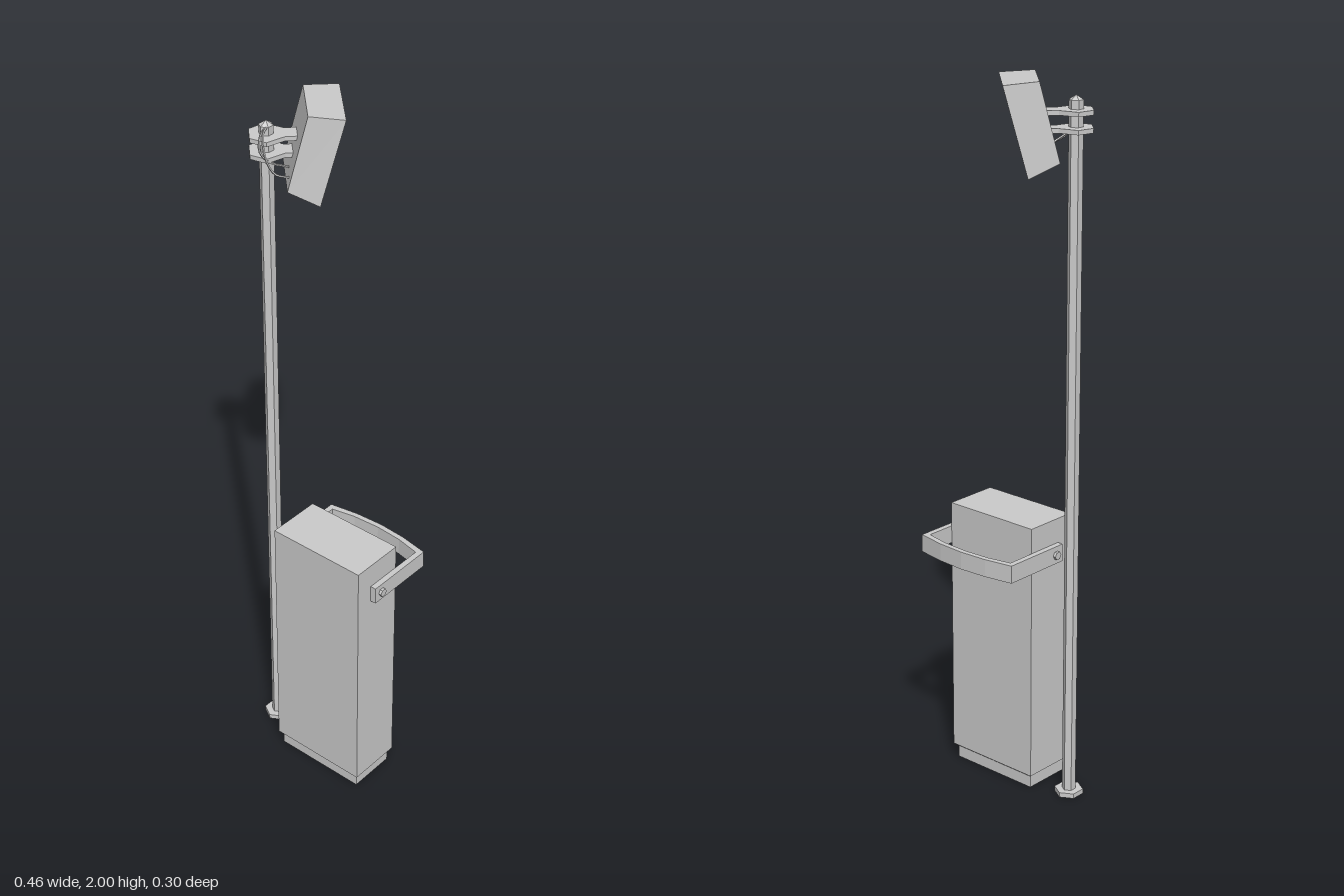
import * as THREE from 'three';

const material = new THREE.MeshStandardMaterial({ color: 0xcccccc, flatShading: true });

function add(parent, name, geometry, x = 0, y = 0, z = 0) {
  const mesh = new THREE.Mesh(geometry, material);
  mesh.name = name;
  mesh.position.set(x, y, z);
  parent.add(mesh);
  return mesh;
}

// Extrudes an outline given as [x, z] pairs upwards by a height
function slab(points, height) {
  const shape = new THREE.Shape(points.map(([x, z]) => new THREE.Vector2(x, -z)));
  return new THREE.ExtrudeGeometry(shape, { depth: height, bevelEnabled: false }).rotateX(-Math.PI / 2);
}

// Moves the corners of a unit box by a rule
function shapedBox(rule) {
  const geometry = new THREE.BoxGeometry(2, 2, 2);
  const p = geometry.attributes.position;
  for (let i = 0; i < p.count; i++) p.setXYZ(i, ...rule(p.getX(i), p.getY(i), p.getZ(i)));
  geometry.computeVertexNormals();
  return geometry;
}

function createCabinet() {
  const cabinet = new THREE.Group();
  cabinet.name = 'cabinet';
  cabinet.position.set(0.0545, 0, 0.069);

  add(cabinet, 'cabinetBody', new THREE.BoxGeometry(0.295, 0.743, 0.158), 0, 0.4135, 0);
  // Thin sloping ledge between the body and the plinth
  add(cabinet, 'cabinetLedge', shapedBox((x, y, z) =>
    y > 0 ? [x * 0.1475, 0.042, z * 0.079] : [x * 0.1375, 0.034, z * 0.069]));
  add(cabinet, 'plinth', new THREE.BoxGeometry(0.275, 0.034, 0.138), 0, 0.017, 0);

  // Bowed carrying handle reaching around the back
  const outer = [[0.165, 0.028], [0.165, -0.179], [0.082, -0.193], [0, -0.198]];
  const inner = [[0, -0.183], [0.079, -0.178], [0.1485, -0.164], [0.1485, 0.028]];
  const mirror = (list) => list.map(([x, z]) => [-x, z]).reverse();
  const outline = [...outer, ...mirror(outer.slice(0, 3)), ...mirror(inner.slice(1)), ...inner];
  add(cabinet, 'handle', slab(outline, 0.05), 0, 0.665, 0);

  for (const side of [-1, 1]) {
    const bolt = new THREE.CylinderGeometry(0.012, 0.012, 0.026, 6).rotateZ(Math.PI / 2);
    add(cabinet, side > 0 ? 'leftBolt' : 'rightBolt', bolt, side * 0.16, 0.69, 0.002);
  }
  return cabinet;
}

function createMast() {
  const mast = new THREE.Group();
  mast.name = 'mast';
  mast.position.set(-0.18, 0, 0.052);
  add(mast, 'foot', new THREE.CylinderGeometry(0.04, 0.04, 0.014, 6), 0, 0.007, 0);
  add(mast, 'pole', new THREE.CylinderGeometry(0.019, 0.019, 1.94, 6), 0, 0.97, 0);
  add(mast, 'poleCap', new THREE.ConeGeometry(0.019, 0.012, 6), 0, 1.946, 0);

  // Head assembly: local x points from the pole towards the head
  const head = new THREE.Group();
  head.name = 'headAssembly';
  head.rotation.y = Math.PI / 4;
  mast.add(head);

  // Tilted box, slightly wider on its outer face
  add(head, 'head', shapedBox((x, y, z) => {
    const outer = x > 0, top = y > 0;
    return [
      outer ? (top ? 0.188 : 0.125) : (top ? 0.097 : 0.045),
      outer ? (top ? 1.993 : 1.76) : (top ? 2 : 1.797),
      z * (outer ? 0.099 : 0.086),
    ];
  }));

  // Two clamp plates around the pole
  [['upperClamp', 1.905, 0.08], ['lowerClamp', 1.86, 0.068]].forEach(([name, y, reach]) => {
    const half = [[reach, 0.024], [0.045, 0.024], [-0.002, 0.052], [-0.042, 0.026]];
    add(head, name, slab([...half, ...half.map(([x, z]) => [x, -z]).reverse()], 0.012), 0, y, 0);
  });
  return mast;
}

export function createModel() {
  const model = new THREE.Group();
  model.name = 'cabinetWithMast';
  model.add(createCabinet(), createMast());

  // Loose cables from the top of the pole into the head
  const cables = [
    [[-0.175, 1.935, 0.058], [-0.16, 1.932, 0.095], [-0.152, 1.9, 0.108], [-0.145, 1.86, 0.08], [-0.13, 1.83, 0.025]],
    [[-0.172, 1.938, 0.058], [-0.15, 1.936, 0.097], [-0.132, 1.89, 0.11], [-0.118, 1.84, 0.09], [-0.103, 1.82, 0.05]],
  ];
  cables.forEach((points, i) => {
    const curve = new THREE.CatmullRomCurve3(points.map((p) => new THREE.Vector3(...p)));
    add(model, `cable${i + 1}`, new THREE.TubeGeometry(curve, 14, 0.003, 5));
  });
  return model;
}
